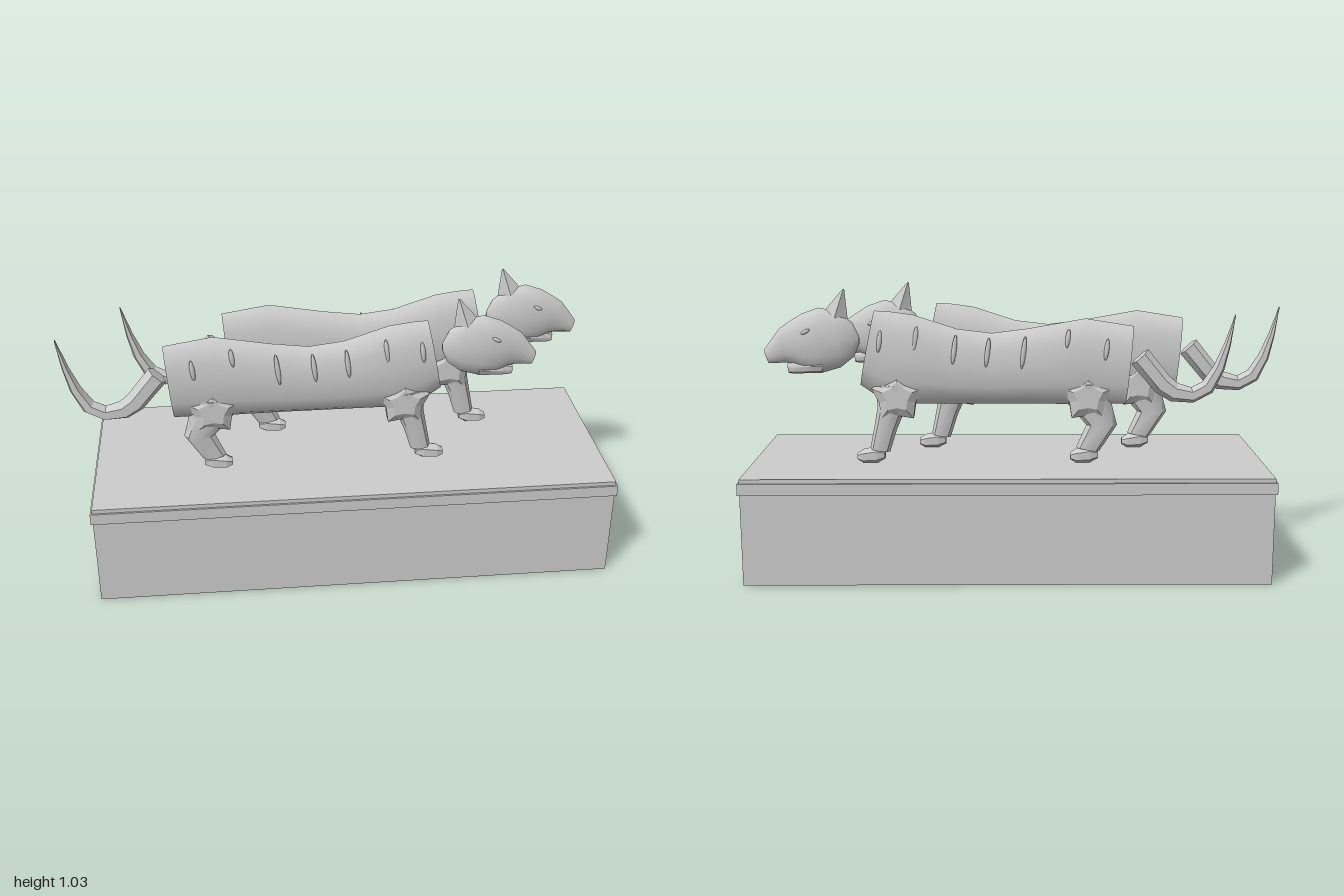
import * as THREE from 'three';
import { toCreasedNormals } from 'three/addons/utils/BufferGeometryUtils.js';

const stone = new THREE.MeshStandardMaterial({ color: 0xcccccc });
stone.name = 'pale stone';

// Skin over elliptical rings [x1, y1, x2, y2, halfWidth]; the two points are
// opposite ends of the ring in the x-y plane, halfWidth runs along z.
function loft(name, rings, sides = 12, crease = 0.7) {
  const pts = rings.map(([x1, y1, x2, y2, w]) => {
    const mx = (x1 + x2) / 2, my = (y1 + y2) / 2;
    return Array.from({ length: sides }, (_, j) => {
      const a = (j / sides) * Math.PI * 2;
      const c = Math.cos(a);
      return [mx + (x1 - mx) * c, my + (y1 - my) * c, w * Math.sin(a)];
    });
  });
  const mid = ([x1, y1, x2, y2]) => [(x1 + x2) / 2, (y1 + y2) / 2, 0];
  const first = mid(rings[0]), last = mid(rings[rings.length - 1]);
  const out = [];
  const tri = (a, b, c) => out.push(...a, ...b, ...c);
  for (let j = 0; j < sides; j++) {
    const k = (j + 1) % sides;
    for (let i = 0; i < pts.length - 1; i++) {
      tri(pts[i][j], pts[i][k], pts[i + 1][k]);
      tri(pts[i][j], pts[i + 1][k], pts[i + 1][j]);
    }
    tri(first, pts[0][k], pts[0][j]);
    tri(last, pts[pts.length - 1][j], pts[pts.length - 1][k]);
  }
  const g = new THREE.BufferGeometry();
  g.setAttribute('position', new THREE.Float32BufferAttribute(out, 3));
  return mesh(name, toCreasedNormals(g, crease));
}

function mesh(name, geometry) {
  const m = new THREE.Mesh(geometry, stone);
  m.name = name;
  return m;
}

// Five-pointed tuft where a leg meets the body
function tuft(name, x, y) {
  const s = new THREE.Shape();
  for (let i = 0; i < 10; i++) {
    const a = Math.PI / 2 + (i * Math.PI) / 5, r = i % 2 ? 0.06 : 0.085;
    s[i ? 'lineTo' : 'moveTo'](Math.cos(a) * r, Math.sin(a) * r);
  }
  s.closePath();
  const g = new THREE.ExtrudeGeometry(s, {
    depth: 0.05, bevelThickness: 0.018, bevelSize: 0.03, bevelOffset: -0.02, bevelSegments: 1,
  });
  g.translate(x, y, -0.025);
  return mesh(name, g);
}

function paw(name, x) {
  return loft(name, [
    [x - 0.05, 0.44, x - 0.05, 0.408, 0.02],
    [x - 0.02, 0.455, x - 0.02, 0.392, 0.03],
    [x + 0.03, 0.445, x + 0.03, 0.392, 0.03],
    [x + 0.052, 0.43, x + 0.052, 0.405, 0.02],
  ], 6, 0.2);
}

const bodyRings = [
  [-0.63, 0.90, -0.605, 0.615, 0.042],
  [-0.455, 0.928, -0.45, 0.612, 0.046],
  [-0.25, 0.892, -0.25, 0.615, 0.046],
  [-0.115, 0.875, -0.115, 0.615, 0.046],
  [0.01, 0.89, 0.01, 0.615, 0.046],
  [0.17, 0.942, 0.18, 0.615, 0.046],
  [0.25, 0.953, 0.30, 0.64, 0.044],
  [0.31, 0.957, 0.365, 0.685, 0.038],
];

function createTiger(side) {
  const tiger = new THREE.Group();
  tiger.name = side > 0 ? 'frontTiger' : 'backTiger';
  tiger.add(loft('body', bodyRings, 12));

  // Head, jaw and ear
  tiger.add(loft('head', [
    [0.366, 0.865, 0.366, 0.835, 0.006],
    [0.39, 0.915, 0.385, 0.79, 0.024],
    [0.44, 0.953, 0.435, 0.75, 0.036],
    [0.51, 0.968, 0.51, 0.728, 0.042],
    [0.575, 0.945, 0.565, 0.74, 0.039],
    [0.625, 0.913, 0.605, 0.762, 0.029],
    [0.655, 0.892, 0.635, 0.768, 0.024],
    [0.712, 0.815, 0.695, 0.765, 0.013],
  ], 12));
  tiger.add(loft('jaw', [
    [0.5, 0.79, 0.5, 0.73, 0.03],
    [0.6, 0.775, 0.61, 0.727, 0.02],
    [0.628, 0.765, 0.625, 0.73, 0.012],
  ], 8));
  tiger.add(loft('ear', [
    [0.405, 0.92, 0.495, 0.95, 0.027],
    [0.415, 1.034, 0.422, 1.034, 0.003],
  ], 4, 0.2));

  // Eyes on both sides of the head
  for (const s of [-1, 1]) {
    const eye = mesh('eye', new THREE.SphereGeometry(1, 8, 6));
    eye.scale.set(0.018, 0.007, 0.006);
    eye.position.set(0.555, 0.885, s * 0.036);
    eye.rotation.z = -0.5;
    tiger.add(eye);
  }

  // Tail sweeping down, back and up to a point
  tiger.add(loft('tail', [
    [-0.625, 0.76, -0.685, 0.815, 0.034],
    [-0.715, 0.655, -0.765, 0.715, 0.034],
    [-0.77, 0.622, -0.795, 0.69, 0.033],
    [-0.855, 0.617, -0.845, 0.675, 0.031],
    [-0.925, 0.655, -0.885, 0.695, 0.029],
    [-0.965, 0.74, -0.925, 0.755, 0.025],
    [-0.985, 0.83, -0.96, 0.835, 0.018],
    [-1.0, 0.94, -0.997, 0.94, 0.008],
  ], 6, 0.3));

  // Legs
  tiger.add(tuft('shoulder', 0.23, 0.645), tuft('haunch', -0.465, 0.645));
  tiger.add(loft('frontLeg', [
    [0.31, 0.69, 0.16, 0.68, 0.046],
    [0.305, 0.6, 0.2, 0.6, 0.036],
    [0.32, 0.52, 0.235, 0.52, 0.029],
    [0.335, 0.445, 0.262, 0.435, 0.023],
  ], 8));
  tiger.add(loft('hindLeg', [
    [-0.38, 0.69, -0.555, 0.69, 0.046],
    [-0.395, 0.61, -0.555, 0.61, 0.037],
    [-0.462, 0.535, -0.575, 0.535, 0.03],
    [-0.425, 0.45, -0.51, 0.435, 0.023],
  ], 8));
  tiger.add(paw('frontPaw', 0.33), paw('hindPaw', -0.455));

  // Raised stripes along the outer flank: [x, y, half length]
  for (const [x, y, h] of [[-0.53, 0.82, 0.04], [-0.39, 0.86, 0.035], [-0.23, 0.81, 0.06],
    [-0.1, 0.81, 0.055], [0.02, 0.82, 0.055], [0.16, 0.86, 0.045], [0.29, 0.85, 0.04]]) {
    const t = (y - 0.765) / 0.16;
    const stripe = mesh('stripe', new THREE.SphereGeometry(1, 6, 8));
    stripe.scale.set(0.009, h, 0.008);
    stripe.position.set(x, y, side * 0.046 * Math.sqrt(1 - Math.min(0.8, t * t)));
    stripe.rotation.set(-side * 0.16 * Math.max(0.4, t), 0, 0.12);
    tiger.add(stripe);
  }
  return tiger;
}

export function createModel() {
  const model = new THREE.Group();
  model.name = 'tigerPair';

  // Plinth with a slightly wider band below its top
  const plinth = mesh('plinth', new THREE.BoxGeometry(1.892, 0.39, 0.738));
  plinth.position.set(0.039, 0.195, 0);
  const band = mesh('plinthBand', new THREE.BoxGeometry(1.906, 0.042, 0.752));
  band.position.set(0.039, 0.354, 0);
  model.add(plinth, band);

  // Two mirrored tigers, the rear one a step ahead
  for (const side of [1, -1]) {
    const tiger = createTiger(side);
    tiger.position.set(side > 0 ? 0 : 0.212, 0, side * 0.127);
    model.add(tiger);
  }
  return model;
}
